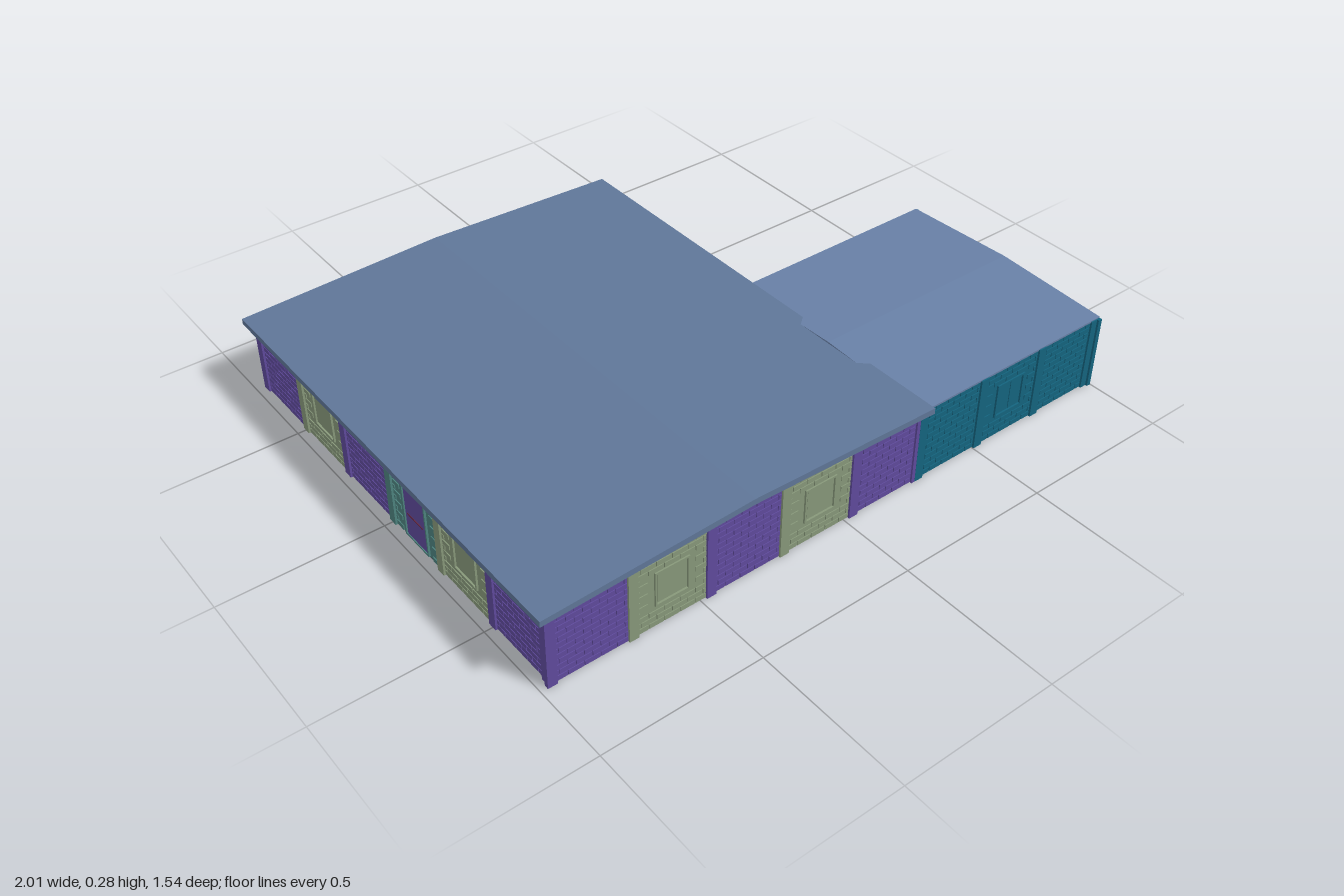
import * as THREE from 'three';
import { mergeGeometries } from 'three/addons/utils/BufferGeometryUtils.js';

const mat = (color) => new THREE.MeshStandardMaterial({ color, flatShading: true, side: THREE.DoubleSide });
const MAT = {
  purple: mat(0x5f4a9c), green: mat(0x87987a), teal: mat(0x14647f), paleTeal: mat(0x4d837f),
  roof: mat(0x5f7698), wingRoof: mat(0x6880a6), floor: mat(0x2b2330), trim: mat(0x6b2a45),
};
const H = 0.24;

const box = (w, h, d, x, y, z) => new THREE.BoxGeometry(w, h, d).translate(x, y, z);

function add(group, name, geometry, material) {
  const m = new THREE.Mesh(geometry, material);
  m.name = name;
  group.add(m);
  return m;
}

// Staggered shallow courses covering a panel, leaving the opening free
function courses(w, hole) {
  const parts = [], rows = 13, step = H / rows, len = w / 5;
  for (let r = 0; r < rows; r++) {
    const y = (r + 0.5) * step;
    for (let i = 0; i < 6; i++) {
      const a = Math.max(0, (i - (r % 2) * 0.5) * len);
      const b = Math.min(w, (i + 1 - (r % 2) * 0.5) * len);
      if (b - a < 0.005) continue;
      const cx = (a + b) / 2 - w / 2;
      if (hole && Math.abs(cx) < hole.w / 2 + len * 0.4 && y > hole.y0 - 0.008 && y < hole.y1 + 0.008) continue;
      parts.push(box(b - a - 0.003, step - 0.003, 0.003, cx, y, 0.0012));
    }
  }
  return parts;
}

// Rectangular frame with a recessed middle
function frame(w, y0, y1, t) {
  const h = y1 - y0, cy = (y0 + y1) / 2;
  return [
    box(w, t, 0.008, 0, y0 + t / 2, 0.002), box(w, t, 0.008, 0, y1 - t / 2, 0.002),
    box(t, h, 0.008, -w / 2 + t / 2, cy, 0.002), box(t, h, 0.008, w / 2 - t / 2, cy, 0.002),
  ];
}

// One wall bay: x along the wall, z outwards
function bay(w, kind, color) {
  const g = new THREE.Group();
  g.name = kind + 'Bay';
  const holes = {
    window: { w: 0.11, y0: 0.07, y1: 0.185 },
    shutter: { w: 0.11, y0: 0.07, y1: 0.185 },
    door: { w: 0.12, y0: 0.005, y1: 0.2 },
  };
  const hole = holes[kind];
  const parts = [box(w, H, 0.012, 0, H / 2, -0.006), ...courses(w, hole)];
  if (hole) parts.push(...frame(hole.w, hole.y0, hole.y1, 0.006));
  add(g, 'wallPanel', mergeGeometries(parts), color);
  add(g, 'post', box(0.03, H + 0.002, 0.014, -w / 2, H / 2 + 0.001, 0.002), color);
  if (kind === 'shutter') {
    for (const s of [-1, 1]) add(g, 'shutterLeaf', box(0.044, 0.098, 0.004, s * 0.0235, 0.128, 0.001), color);
  }
  if (kind === 'window') add(g, 'windowPane', box(0.09, 0.095, 0.003, 0, 0.128, 0.001), color);
  if (kind === 'door') {
    add(g, 'door', box(0.1, 0.185, 0.005, 0, 0.1, 0.001), MAT.purple);
    add(g, 'doorRail', box(0.08, 0.005, 0.006, 0, 0.09, 0.002), MAT.trim);
  }
  return g;
}

// A run of bays from (x0,z0) to (x1,z1), outside on the right-hand side of travel
function wall(name, x0, z0, x1, z1, bays) {
  const g = new THREE.Group();
  g.name = name;
  const w = Math.hypot(x1 - x0, z1 - z0) / bays.length;
  bays.forEach(([kind, color], i) => {
    const b = bay(w, kind, color);
    b.position.x = (i + 0.5) * w;
    g.add(b);
  });
  const last = bays[bays.length - 1][1];
  add(g, 'endPost', box(0.03, H + 0.002, 0.014, w * bays.length - 0.012, H / 2 + 0.001, 0.0015), last);
  g.position.set(x0, 0, z0);
  g.rotation.y = Math.atan2(-(z1 - z0), x1 - x0);
  return g;
}

// Low gable slab; profile in x/y, length along z
function gable(points, length) {
  const s = new THREE.Shape(points.map(([x, y]) => new THREE.Vector2(x, y)));
  return new THREE.ExtrudeGeometry(s, { depth: length, bevelEnabled: false });
}

export function createModel() {
  const model = new THREE.Group();
  model.name = 'building';
  const L = -0.965, M = 0.28, R = 0.99, F = 0.747, B = -0.745, C = -0.005;
  const p = ['plain', MAT.purple], g = ['window', MAT.green], t = ['plain', MAT.teal];
  const w = ['window', MAT.teal], s = ['shutter', MAT.teal], d = ['door', MAT.paleTeal];

  // Main block walls
  model.add(wall('mainFrontWall', L, F, M, F, [p, g, p, g, p]));
  model.add(wall('mainBackWall', M, B, L, B, [p, g, p, g, p]));
  model.add(wall('mainLeftWall', L, B, L, F, [p, g, p, d, g, p]));
  model.add(wall('mainRightWall', M, C, M, B, [p, p, p]));

  // Wing walls
  model.add(wall('wingFrontWall', M, F, R, F, [t, s, t]));
  model.add(wall('wingRightWall', R, F, R, C, [t, w, t]));
  model.add(wall('wingBackWall', R, C, M, C, [t, s, t]));

  // L-shaped floor
  const floor = new THREE.Shape([[L, -F], [R, -F], [R, -C], [M, -C], [M, -B], [L, -B]]
    .map(([x, y]) => new THREE.Vector2(x, y)));
  add(model, 'floor', new THREE.ExtrudeGeometry(floor, { depth: 0.004, bevelEnabled: false })
    .rotateX(-Math.PI / 2), MAT.floor);

  // Main roof with overhanging eaves, ridge along z
  add(model, 'mainRoof', gable(
    [[-1, 0.236], [-0.34, 0.258], [0.3, 0.236], [0.3, 0.255], [-0.34, 0.277], [-1, 0.255]], 1.545,
  ).translate(0, 0, -0.775), MAT.roof);

  // Wing roof, ridge along x
  add(model, 'wingRoof', gable(
    [[-0.752, 0.239], [0.012, 0.239], [0.012, 0.245], [-0.37, 0.261], [-0.752, 0.245]], 0.73,
  ).rotateY(Math.PI / 2).translate(0.27, 0, 0), MAT.wingRoof);

  return model;
}
